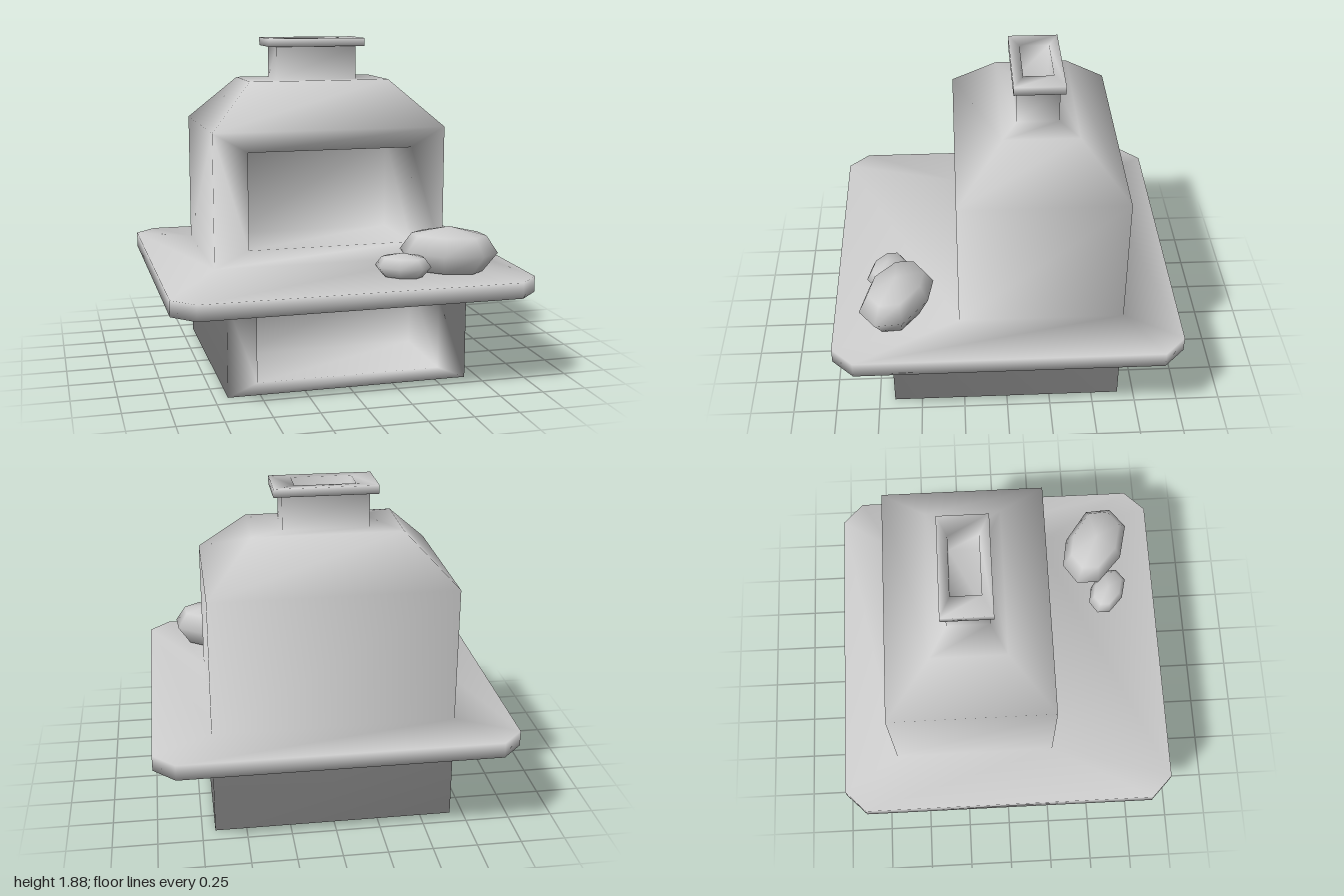
import * as THREE from 'three';

// Eight-point level outline of a rectangle, corners cut by c; edge 0 is the front
function outline(x, z0, z1, y, c = 0) {
  return [
    [-x + c, z1], [x - c, z1], [x, z1 - c], [x, z0 + c],
    [x - c, z0], [-x + c, z0], [-x, z0 + c], [-x, z1 - c],
  ].map(([px, pz]) => new THREE.Vector3(px, y, pz));
}

// Upright four-point loop, for the openings in the front walls
function upright(x, y0, y1, z) {
  return [[-x, y0], [x, y0], [x, y1], [-x, y1]].map(([px, py]) => new THREE.Vector3(px, py, z));
}

function addTriangle(tris, a, b, c) {
  const area = b.clone().sub(a).cross(c.clone().sub(a)).length();
  if (area > 1e-7) tris.push(a, b, c);
}

function addQuad(tris, a, b, c, d) {
  addTriangle(tris, a, b, c);
  addTriangle(tris, a, c, d);
}

// Skin between successive loops; openFront leaves out edge 0
function addLoft(tris, loops, openFront = false) {
  for (let k = 0; k < loops.length - 1; k++) {
    const a = loops[k], b = loops[k + 1], n = a.length;
    for (let i = openFront ? 1 : 0; i < n; i++) {
      const j = (i + 1) % n;
      addQuad(tris, a[i], a[j], b[j], b[i]);
    }
  }
}

// Front wall with a rectangular recess
function addRecessedFront(tris, wall, hole, z, depth) {
  const back = upright(...hole, z - depth);
  addLoft(tris, [upright(...wall, z), upright(...hole, z), back]);
  addQuad(tris, ...back);
}

function toGeometry(tris) {
  const geometry = new THREE.BufferGeometry().setFromPoints(tris);
  geometry.computeVertexNormals();
  return geometry;
}

// Shares soft normals between all parts that touch at a corner
function smoothTogether(parts) {
  const sums = new Map();
  const p = new THREE.Vector3(), e1 = new THREE.Vector3(), e2 = new THREE.Vector3();
  const key = (v) => [v.x, v.y, v.z].map((n) => Math.round(n * 1e4)).join();
  for (const tris of parts) {
    for (let i = 0; i < tris.length; i += 3) {
      e1.subVectors(tris[i + 1], tris[i]);
      e2.subVectors(tris[i + 2], tris[i]);
      p.crossVectors(e1, e2);
      for (let k = 0; k < 3; k++) {
        const id = key(tris[i + k]);
        if (!sums.has(id)) sums.set(id, new THREE.Vector3());
        sums.get(id).add(p);
      }
    }
  }
  return parts.map((tris) => {
    const geometry = toGeometry(tris);
    tris.forEach((v, i) => {
      p.copy(sums.get(key(v))).normalize();
      geometry.attributes.normal.setXYZ(i, p.x, p.y, p.z);
    });
    return geometry;
  });
}

// Faceted boulder: an eight-sided outline scaled at a few heights
function stoneTriangles(cx, cz, sx, sy) {
  const plan = [[-0.245, 0.005], [-0.085, 0.155], [0.125, 0.205], [0.245, 0.115],
    [0.235, -0.035], [0.045, -0.175], [-0.125, -0.205], [-0.245, -0.125]];
  const levels = [[0, 0], [0.008, 0.7], [0.115, 1], [0.21, 0.76], [0.255, 0]];
  const tris = [];
  addLoft(tris, levels.map(([y, s]) => plan.map(([x, z]) =>
    new THREE.Vector3(cx + x * s * sx, 0.612 + y * sy, cz + z * s * sx))));
  return tris;
}

export function createModel() {
  const group = new THREE.Group();
  const stone = new THREE.MeshStandardMaterial({ color: 0xcccccc });
  stone.name = 'pale stone';

  const slabLow = 0.525, slabTop = 0.613, shoulder = 1.38;
  const W = 0.677, back = -0.657, baseFront = 0.66, ovenFront = 0.27;

  // Base with a storage recess
  const base = [];
  const foot = outline(W, back, baseFront, 0);
  const baseTop = outline(W, back, baseFront, slabLow);
  addLoft(base, [foot, baseTop], true);
  addQuad(base, foot[6], foot[4], foot[2], foot[0]);
  addRecessedFront(base, [W, 0, slabLow], [0.515, 0.07, 0.475], baseFront, 0.5);

  // Worktop slab with cut corners
  const worktop = [];
  const ovenFoot = outline(W, back, ovenFront, slabTop);
  addLoft(worktop, [baseTop, outline(1, -0.97, 0.97, slabLow, 0.12),
    outline(1, -0.97, 0.97, slabTop, 0.12), ovenFoot]);

  // Oven chamber with the fire opening, then the sloped hood
  const chamber = [], hood = [];
  const shoulderLoop = outline(W, back, ovenFront, shoulder);
  const neckFoot = outline(0.24, -0.303, -0.07, 1.64);
  addLoft(chamber, [ovenFoot, shoulderLoop], true);
  addRecessedFront(chamber, [W, slabTop, shoulder], [0.479, 0.711, 1.267], ovenFront, 0.5);
  addLoft(hood, [shoulderLoop, outline(0.415, -0.4, 0.015, 1.64), neckFoot]);

  // Chimney neck, rim and flue
  const chimney = [];
  const flueFloor = outline(0.168, -0.273, -0.108, 1.7);
  addLoft(chimney, [neckFoot, outline(0.24, -0.303, -0.07, 1.833),
    outline(0.287, -0.33, -0.05, 1.833), outline(0.287, -0.33, -0.05, 1.88),
    outline(0.168, -0.273, -0.108, 1.88), flueFloor]);
  addQuad(chimney, flueFloor[0], flueFloor[2], flueFloor[4], flueFloor[6]);

  const parts = {
    base, worktop, chamber, hood, chimney,
    largeStone: stoneTriangles(0.585, 0.615, 1, 1),
    smallStone: stoneTriangles(0.298, 0.677, 0.57, 0.52),
  };
  const geometries = smoothTogether(Object.values(parts));
  Object.keys(parts).forEach((name, i) => {
    const mesh = new THREE.Mesh(geometries[i], stone);
    mesh.name = name;
    group.add(mesh);
  });
  return group;
}
